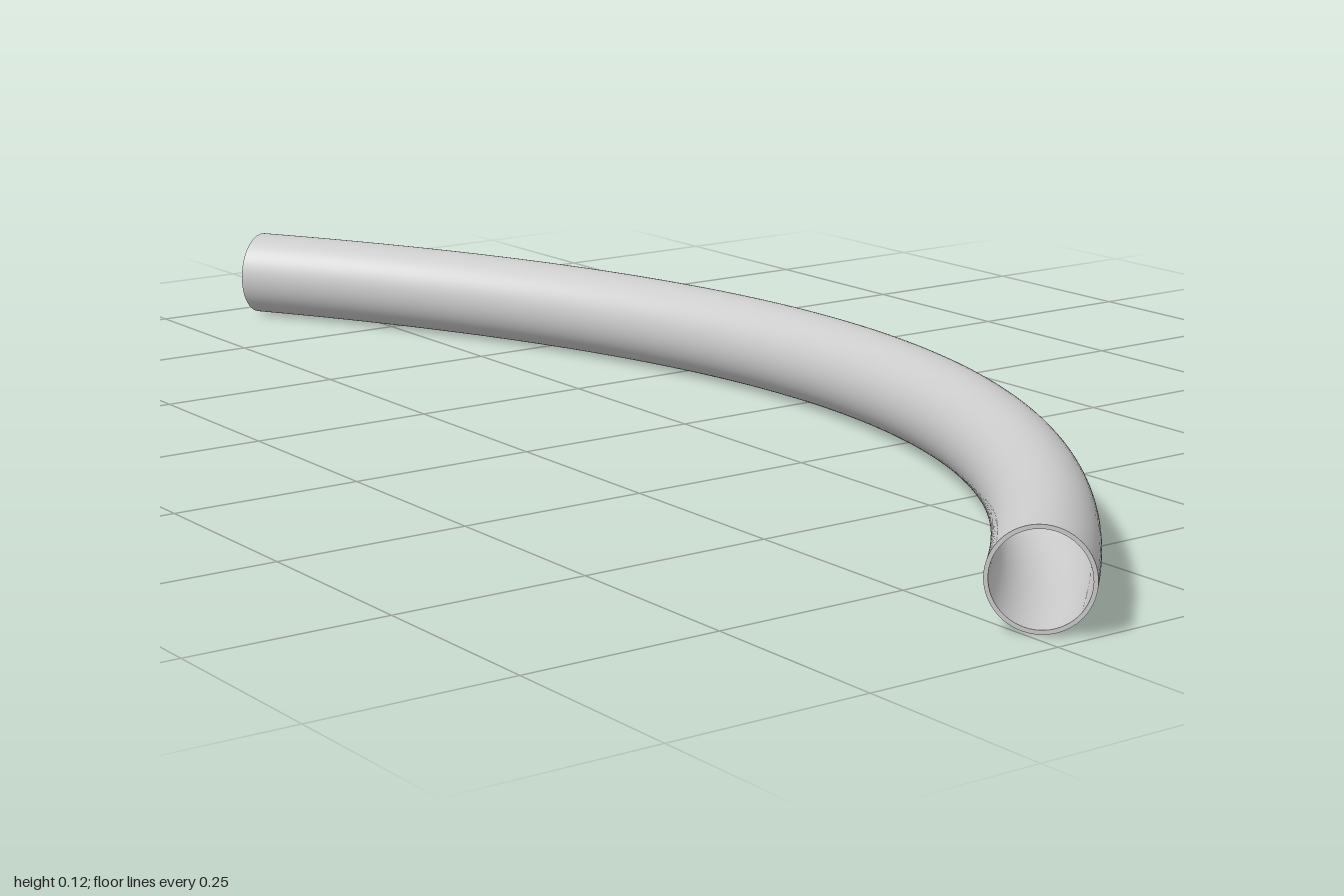
import * as THREE from 'three';

const OUTER = 0.06, INNER = 0.055, SIDES = 64, STEPS = 96;

export function createModel() {
  const group = new THREE.Group();
  group.name = 'curvedPipe';
  const material = new THREE.MeshStandardMaterial({ color: 0xcccccc });
  const insideMaterial = new THREE.MeshStandardMaterial({ color: 0xcccccc, side: THREE.BackSide });

  // Centre line, lying flat, bowed towards +x
  const path = new THREE.QuadraticBezierCurve3(
    new THREE.Vector3(-0.237, OUTER, 0.957),
    new THREE.Vector3(0.6, OUTER, 0.165),
    new THREE.Vector3(-0.1, OUTER, -0.968)
  );

  const add = (name, geometry, mat) => {
    const mesh = new THREE.Mesh(geometry, mat);
    mesh.name = name;
    group.add(mesh);
    return mesh;
  };

  // Outer and inner walls
  add('outerWall', new THREE.TubeGeometry(path, STEPS, OUTER, SIDES), material);
  add('innerWall', new THREE.TubeGeometry(path, STEPS, INNER, SIDES), insideMaterial);

  // Flat rims closing the wall thickness at both open ends
  for (const [name, t, sign] of [['frontRim', 0, -1], ['backRim', 1, 1]]) {
    const rim = add(name, new THREE.RingGeometry(INNER, OUTER, SIDES), material);
    const outward = path.getTangentAt(t).multiplyScalar(sign);
    rim.position.copy(path.getPointAt(t));
    rim.quaternion.setFromUnitVectors(new THREE.Vector3(0, 0, 1), outward);
  }
  return group;
}
